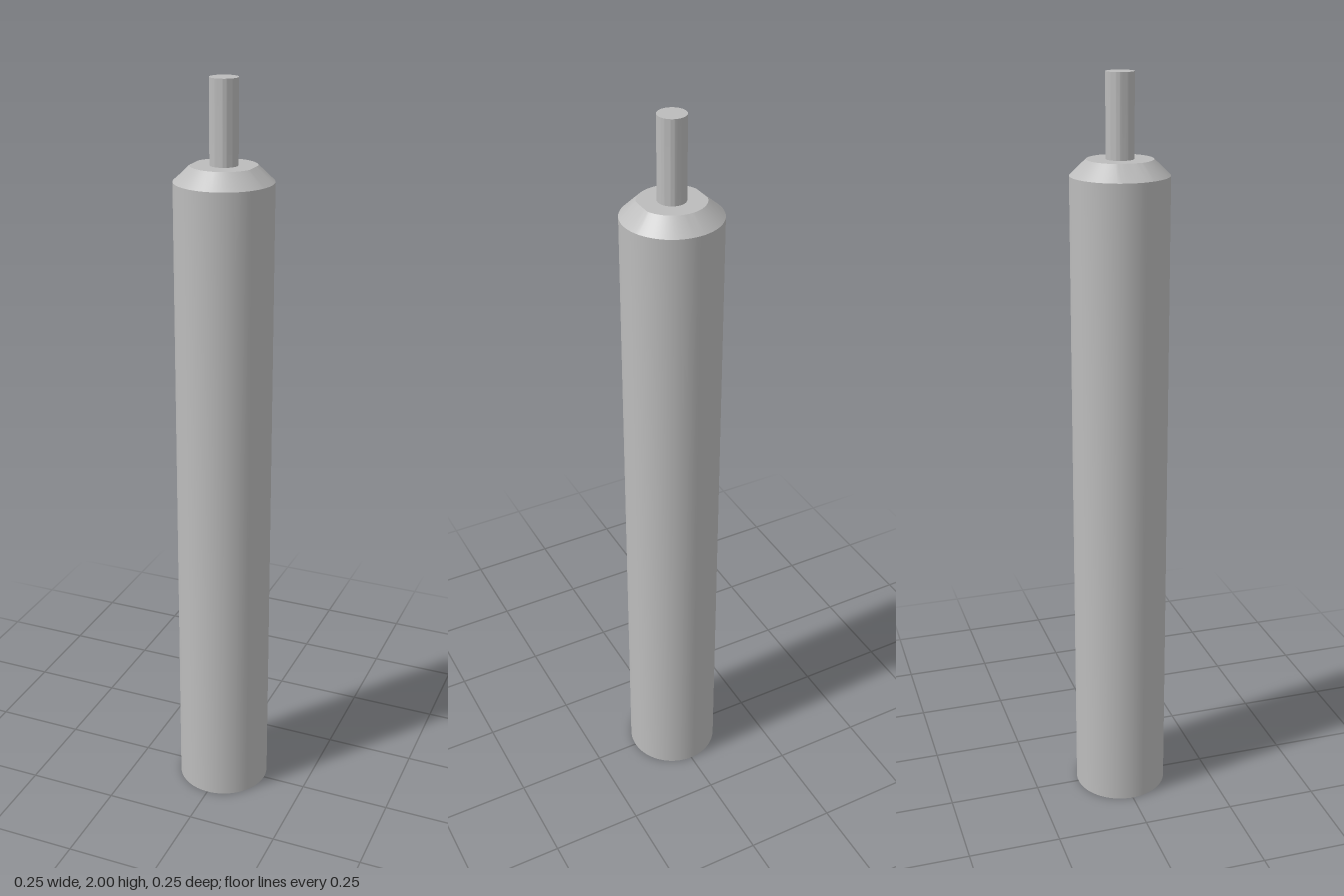
import * as THREE from 'three';
import { toCreasedNormals } from 'three/addons/utils/BufferGeometryUtils.js';

const BODY_R = 0.127, SHAFT_R = 0.036, SHOULDER_Y = 1.75, TOP_Y = 1.79;

export function createModel() {
  const group = new THREE.Group();
  const steel = new THREE.MeshStandardMaterial({ color: 0xbcbcbc });
  steel.name = 'steel grey';

  // Turned part from [radius, height] pairs, listed from the lower axis outwards and up
  function turned(name, pairs, shape) {
    const geometry = new THREE.LatheGeometry(pairs.map(([r, y]) => new THREE.Vector2(r, y)), 72);
    if (shape) shape(geometry.attributes.position);
    const mesh = new THREE.Mesh(toCreasedNormals(geometry, 0.4), steel);
    mesh.name = name;
    group.add(mesh);
  }

  // Cylinder body, with an open centre in its base
  turned('body', [[SHAFT_R, 0], [BODY_R, 0], [BODY_R, SHOULDER_Y]]);

  // Chamfered shoulder, whose upper rim is trimmed by two side flats
  turned('shoulder', [[BODY_R, SHOULDER_Y], [0.085, TOP_Y], [SHAFT_R, TOP_Y]], (p) => {
    for (let i = 0; i < p.count; i++) {
      if (p.getY(i) > TOP_Y - 0.001) p.setX(i, THREE.MathUtils.clamp(p.getX(i), -0.08, 0.08));
    }
  });

  // Round shaft
  turned('shaft', [[SHAFT_R, TOP_Y], [SHAFT_R, 2], [0, 2]]);

  // Blind threaded socket in the base
  const pitch = 0.016, turns = 10;
  const thread = [[0, pitch * turns]];
  for (let i = turns; i > 0; i--) {
    thread.push([SHAFT_R, i * pitch], [SHAFT_R - 0.007, (i - 0.5) * pitch]);
  }
  thread.push([SHAFT_R, 0]);
  turned('threadedSocket', thread);

  return group;
}
